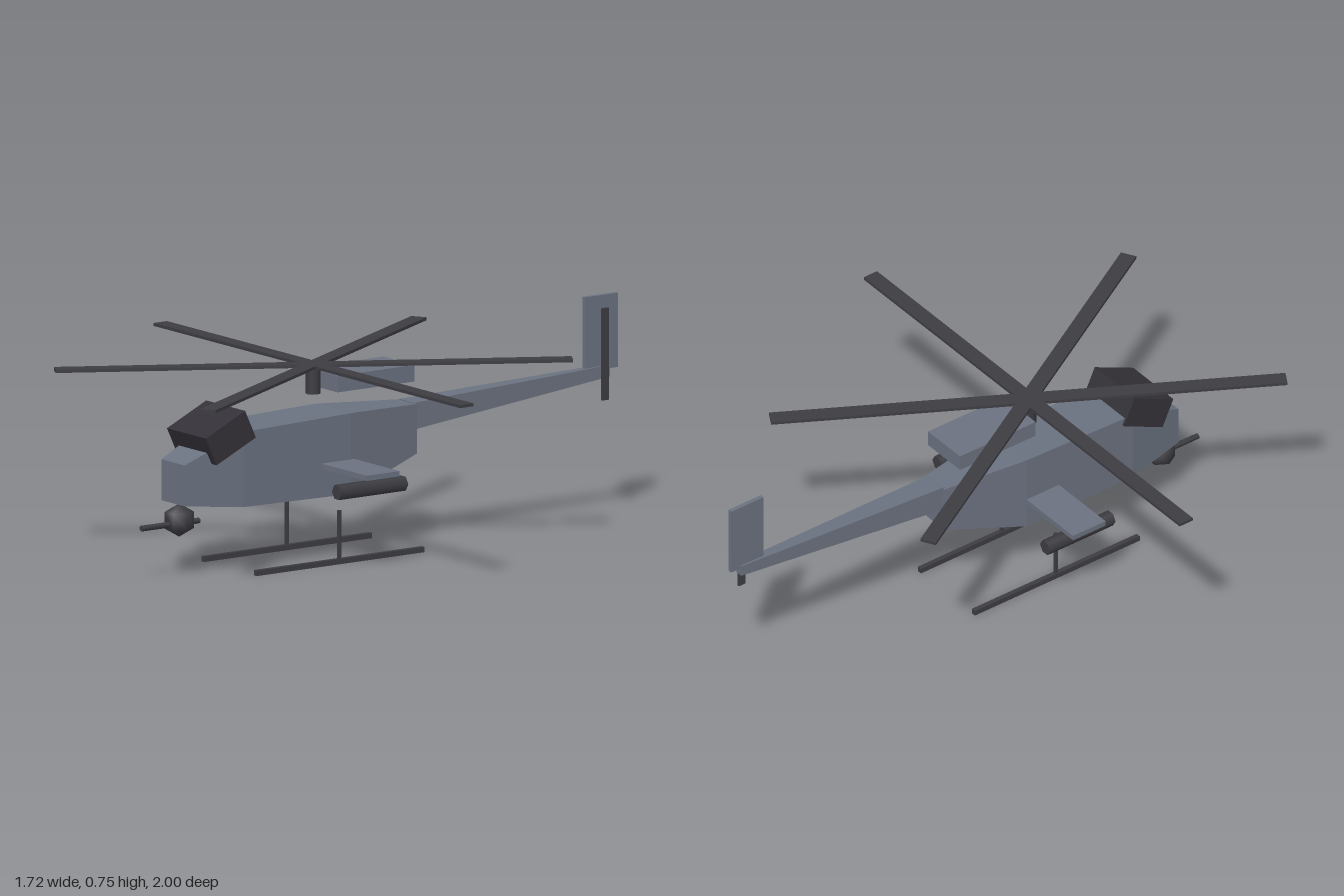
import * as THREE from 'three';

const paint = (name, color) => {
  const m = new THREE.MeshStandardMaterial({ color });
  m.name = name;
  return m;
};

// Flat-shaded hull through rectangular sections [z, halfWidth, bottom, top], front to back
function loft(sections) {
  const rings = sections.map(([z, w, b, t]) => [[-w, b, z], [w, b, z], [w, t, z], [-w, t, z]]);
  const pos = [];
  const quad = (a, b, c, d) => pos.push(...a, ...b, ...c, ...a, ...c, ...d);
  quad(...rings[0]);
  for (let i = 0; i + 1 < rings.length; i++) {
    for (let j = 0; j < 4; j++) {
      const k = (j + 1) % 4;
      quad(rings[i][j], rings[i + 1][j], rings[i + 1][k], rings[i][k]);
    }
  }
  quad(...[...rings[rings.length - 1]].reverse());
  const g = new THREE.BufferGeometry();
  g.setAttribute('position', new THREE.Float32BufferAttribute(pos, 3));
  g.computeVertexNormals();
  return g;
}

export function createModel() {
  const group = new THREE.Group();
  group.name = 'helicopter';
  const grey = paint('hull grey', 0x6b7280);
  const dark = paint('dark metal', 0x3d3c42);
  const glass = paint('canopy glass', 0x343238);

  const add = (name, geometry, material, x, y, z) => {
    const mesh = new THREE.Mesh(geometry, material);
    mesh.name = name;
    mesh.position.set(x, y, z);
    group.add(mesh);
    return mesh;
  };
  const box = (name, material, w, h, d, x, y, z) =>
    add(name, new THREE.BoxGeometry(w, h, d), material, x, y, z);

  // Fuselage and tail
  add('fuselage', loft([
    [0.815, 0.065, 0.247, 0.385],
    [0.6, 0.1, 0.225, 0.478],
    [0.16, 0.1, 0.218, 0.49],
    [-0.145, 0.05, 0.31, 0.477],
  ]), grey, 0, 0, 0);
  add('tailBoom', loft([
    [-0.14, 0.042, 0.39, 0.48],
    [-0.962, 0.013, 0.468, 0.507],
  ]), grey, 0, 0, 0);
  box('tailFin', grey, 0.015, 0.25, 0.135, 0, 0.62, -0.932);
  box('tailRotor', dark, 0.009, 0.31, 0.027, 0.028, 0.55, -0.93);

  // Canopy and engine cowling
  box('canopy', glass, 0.218, 0.105, 0.177, 0, 0.466, 0.658).rotation.x = 0.436;
  box('engineCowling', grey, 0.174, 0.056, 0.314, 0, 0.591, 0.048);

  // Main rotor: three full-length bars make six blades
  add('rotorMast', new THREE.CylinderGeometry(0.025, 0.025, 0.093, 8), dark, 0, 0.597, 0.243);
  for (let i = 0; i < 3; i++) {
    box('rotorBlade', dark, 1.72, 0.01, 0.055, 0, 0.647, 0.241).rotation.y = (i * Math.PI) / 3;
  }

  // Chin turret and gun
  add('turret', new THREE.SphereGeometry(0.056, 6, 3), dark, 0, 0.188, 0.79);
  add('gunBarrel', new THREE.CylinderGeometry(0.01, 0.01, 0.236, 6), dark, 0, 0.177, 0.827).rotation.x = Math.PI / 2;

  // Wings, pods and landing skids on both sides
  for (const s of [1, -1]) {
    box('stubWing', grey, 0.254, 0.018, 0.135, s * 0.234, 0.327, 0.219);
    const pod = new THREE.CylinderGeometry(0.027, 0.027, 0.273, 6, 1, false, Math.PI / 6);
    add('weaponPod', pod, dark, s * 0.293, 0.277, 0.223).rotation.x = Math.PI / 2;
    box('skid', dark, 0.017, 0.018, 0.685, s * 0.147, 0.009, 0.243);
    box('skidStrut', dark, 0.01, 0.165, 0.01, s * 0.147, 0.098, 0.243);
  }
  return group;
}
